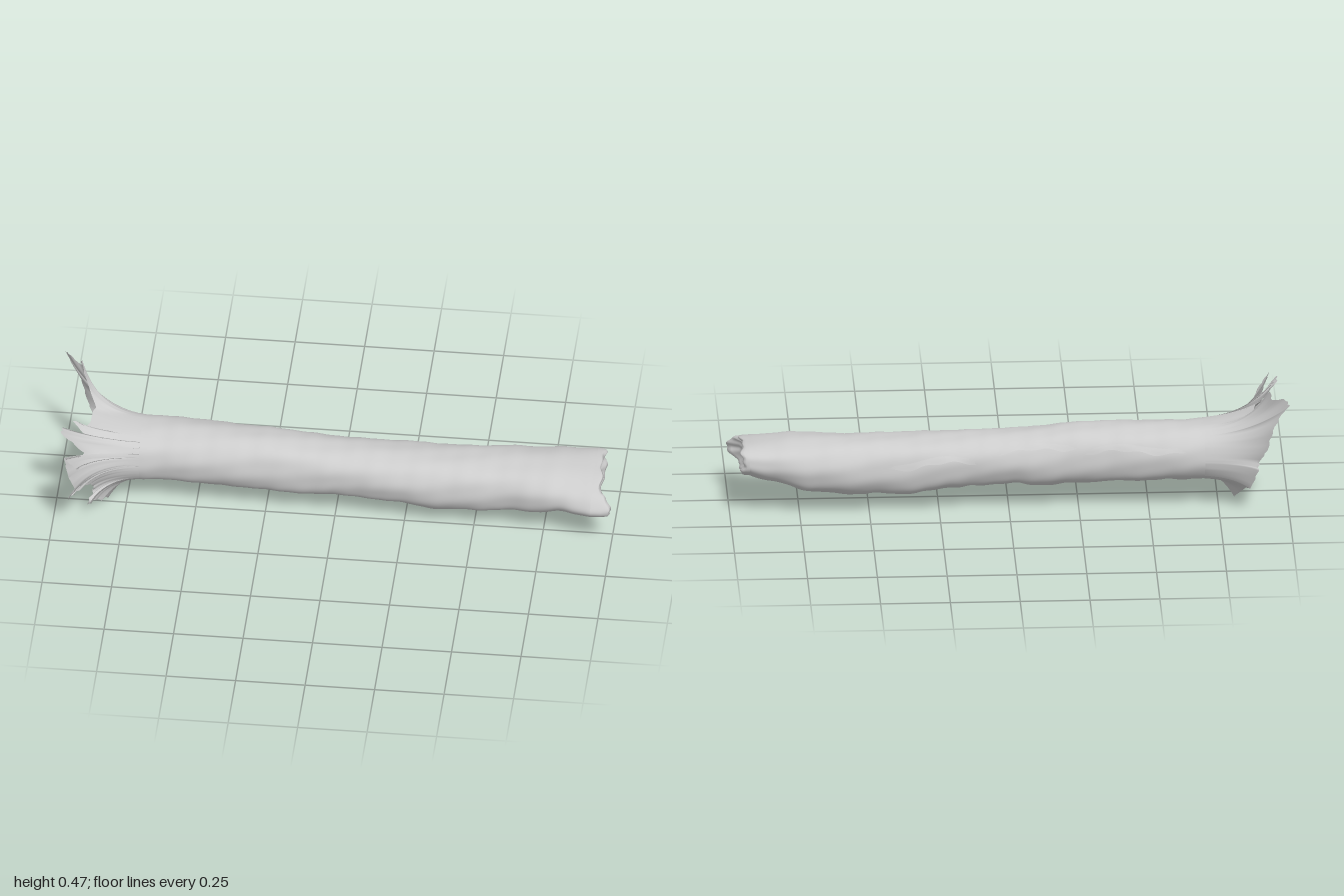
import * as THREE from 'three';
import { mergeVertices } from 'three/addons/utils/BufferGeometryUtils.js';

const { lerp, smoothstep } = THREE.MathUtils;

// Profiles along the trunk: [x, value]
const TOP = [[-1, .31], [-.8, .31], [-.6, .3], [-.3, .298], [0, .275], [.4, .265], [.75, .27], [.9, .26], [1, .245]];
const BOTTOM = [[-1, .09], [-.7, .1], [-.4, .09], [-.1, .073], [0, .085], [.2, .075], [.36, .05], [.5, .058], [.7, .075], [.85, .112], [1, .145]];
const BACK = [[-1, -.2], [-.6, -.197], [-.2, -.175], [0, -.175], [.4, -.183], [.65, -.2], [1, -.2]];
const FRONT = [[-1, .06], [-.75, .055], [-.6, .042], [0, .04], [.3, .054], [.6, .052], [.8, .08], [1, .118]];

function sample(profile, x) {
  let i = 0;
  while (i < profile.length - 2 && x > profile[i + 1][0]) i++;
  const [x0, v0] = profile[i], [x1, v1] = profile[i + 1];
  return lerp(v0, v1, smoothstep(x, x0, x1));
}

// Bark lumps, periodic around the trunk
function lumps(x, a) {
  return .016 * Math.sin(9 * x + 2 * a) * Math.sin(5 * x - a + 1)
    + .016 * Math.sin(23 * x + 3 * a + 2) * Math.sin(13 * x - 2 * a)
    + .012 * Math.sin(47 * x - 5 * a) * Math.sin(31 * x + 4 * a + 1);
}

// Point on the bark; angle 0 is underneath, then front, top and back
function barkPoint(x, a, scale = 1) {
  const top = sample(TOP, x), low = sample(BOTTOM, x);
  const back = sample(BACK, x), front = sample(FRONT, x);
  const s = Math.sin(a), c = -Math.cos(a);
  const k = (1 + lumps(x, a)) * scale / Math.pow(s ** 4 + c ** 4, .07);
  const dz = (front - back) / 2 * s * k;
  const tilt = .16 * smoothstep(x, .7, 1);
  return new THREE.Vector3(x, (top + low) / 2 + (top - low) / 2 * c * k - tilt * dz, (front + back) / 2 + dz);
}

// Skin over a grid of points, rows along x and columns round the trunk
function skin(name, rows, cols, pointAt) {
  const pos = [], index = [];
  for (let i = 0; i <= rows; i++) {
    for (let j = 0; j <= cols; j++) {
      pos.push(...pointAt(i, j).toArray());
      if (i < rows && j < cols) {
        const a = i * (cols + 1) + j, b = a + cols + 1;
        index.push(a, b, a + 1, b, b + 1, a + 1);
      }
    }
  }
  let geo = new THREE.BufferGeometry();
  geo.setAttribute('position', new THREE.Float32BufferAttribute(pos, 3));
  geo.setIndex(index);
  geo = mergeVertices(geo, 1e-5);
  geo.computeVertexNormals();
  const mesh = new THREE.Mesh(geo, new THREE.MeshStandardMaterial({ color: 0xcccccc, side: THREE.DoubleSide }));
  mesh.name = name;
  return mesh;
}

// Ragged edge of the root flare: [z, y, x], from underneath round the front
const RIM = [
  [-.05, 0, -.81], [.03, .03, -.83], [.07, .055, -.86], [.12, .07, -.88], [.09, .1, -.86],
  [.09, .14, -.86], [.14, .175, -.87], [.22, .205, -.91], [.28, .21, -.93], [.25, .24, -.91],
  [.265, .3, -.93], [.235, .363, -.95], [.225, .31, -.91], [.2, .29, -.9], [.11, .295, -.89],
  [.13, .39, -.97], [.085, .385, -.97], [.07, .305, -.9], [.03, .32, -.9], [.02, .365, -.94],
  [0, .335, -.89], [-.11, .335, -.87], [-.165, .44, -.92], [-.205, .468, -.93], [-.22, .44, -.94],
  [-.25, .455, -.98], [-.285, .445, -1], [-.26, .4, -.97], [-.262, .34, -.94], [-.255, .26, -.92],
  [-.225, .2, -.89], [-.24, .175, -.89], [-.2, .09, -.86], [-.17, .085, -.85], [-.1, .04, -.83],
];

const JOIN = -.7; // where the flare meets the trunk

function rootFlare() {
  const split = 4, steps = 14, n = RIM.length * split;
  return skin('rootFlare', steps, n, (i, j) => {
    const m = j % n, r = Math.floor(m / split), t = (m % split) / split;
    const p = RIM[r], q = RIM[(r + 1) % RIM.length];
    const jag = (m % split ? 1 : 0) * .004 * Math.sin(m * 2.3);
    const rim = new THREE.Vector3(lerp(p[2], q[2], t) - jag, lerp(p[1], q[1], t) + jag, lerp(p[0], q[0], t) - jag);
    const a = Math.atan2(rim.z + .07, .2 - rim.y);
    const bend = barkPoint(Math.max(rim.x + .05, -.87), a, 1.06);
    const base = barkPoint(JOIN, a);
    const u = i / steps, v = 1 - u;
    return rim.multiplyScalar(v * v).addScaledVector(bend, 2 * u * v).addScaledVector(base, u * u);
  });
}

// Hollow trunk, split open underneath and closing towards the broken end
function trunk() {
  const rows = 150, cols = 80;
  return skin('trunk', rows, cols, (i, j) => {
    const x = lerp(JOIN, .93, i / rows);
    const close = 1 - smoothstep(x, .45, .8);
    const ragged = .06 * Math.sin(37 * x) + .05 * Math.sin(71 * x + 1);
    const from = -.15 + close * (.5 + .25 * smoothstep(-x, 0, .7) + ragged);
    const to = Math.PI * 2 - .15 - close * (.5 - ragged);
    return barkPoint(x, lerp(from, to, j / cols));
  });
}

// Broken end: an uneven lip, then a dented face shrinking to the middle
function brokenEnd() {
  const cols = 80;
  const rings = [[0, 1], [.5, .99], [.85, .96], [1, .89], [.85, .78], [.5, .62], [.4, .4], [.55, .2], [.6, 0]];
  return skin('brokenEnd', rings.length - 1, cols, (i, j) => {
    const [reach, size] = rings[i];
    const a = -.15 + Math.PI * 2 * (j % cols) / cols;
    const p = barkPoint(.93, a), mid = new THREE.Vector3(.93, .205, -.04);
    const lip = .027 + .045 * smoothstep(p.z, .045, .1) * (p.y < .22 ? 1 : .6)
      + (i ? .006 * Math.sin(5 * a) + .004 * Math.sin(11 * a + 1) : 0);
    p.lerp(mid, 1 - size);
    p.x = .93 + reach * lerp(.025, lip, size);
    return p;
  });
}

// Loose strips of bark standing along the upper back
function barkStrip(x0, x1, angle) {
  return skin('barkStrip', 30, 3, (i, j) => {
    const t = i / 30, x = lerp(x0, x1, t);
    const a = angle + .08 * Math.sin(20 * x) + j * .09 + .04 * Math.sin(57 * x) * (j === 3 ? 1 : 0);
    return barkPoint(x, a, .995 + .035 * (j / 3) * Math.sin(Math.PI * t));
  });
}

export function createModel() {
  const log = new THREE.Group();
  log.name = 'hollowLog';
  log.add(rootFlare(), trunk(), brokenEnd());
  for (const [x0, x1, a] of [[-.65, -.25, 4.1], [-.25, .05, 3.9], [.1, .45, 4.2]]) log.add(barkStrip(x0, x1, a));
  return log;
}
